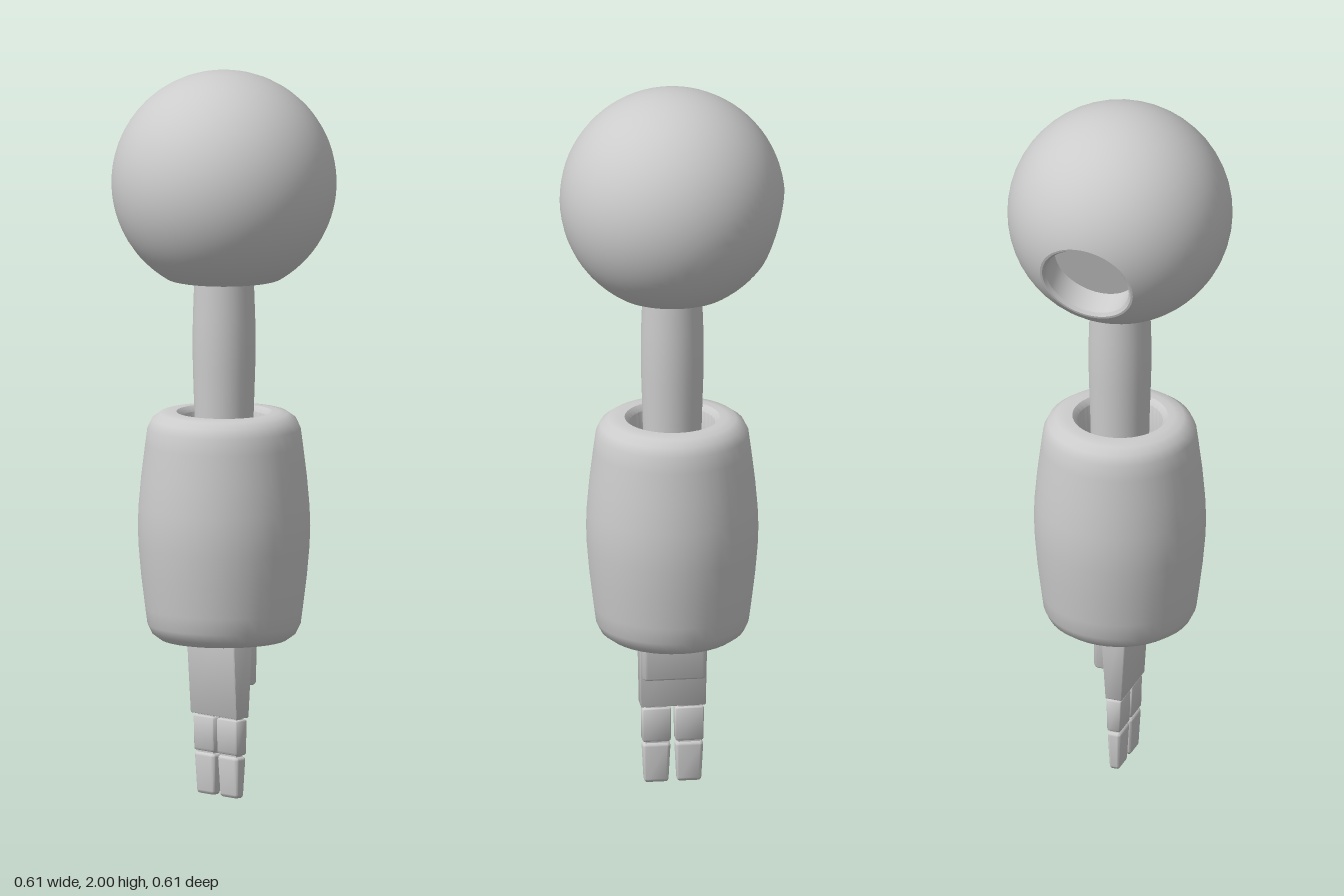
import * as THREE from 'three';
import { toCreasedNormals } from 'three/addons/utils/BufferGeometryUtils.js';
import { RoundedBoxGeometry } from 'three/addons/geometries/RoundedBoxGeometry.js';
import { ParametricGeometry } from 'three/addons/geometries/ParametricGeometry.js';

export function createModel() {
  const model = new THREE.Group();
  const material = new THREE.MeshStandardMaterial({ color: 0xcccccc });

  const add = (name, geometry, x = 0, y = 0, z = 0, parent = model) => {
    const mesh = new THREE.Mesh(geometry, material);
    mesh.name = name;
    mesh.position.set(x, y, z);
    parent.add(mesh);
    return mesh;
  };

  const lathe = (points, sides = 40) => toCreasedNormals(
    new THREE.LatheGeometry(points.map(([r, y]) => new THREE.Vector2(r, y)), sides), 0.7);

  // Rounded box whose bottom is scaled in x and z relative to its top
  const taperedBox = (w, h, d, sx, sz, bevel) => {
    const geometry = new RoundedBoxGeometry(w, h, d, 2, bevel);
    const p = geometry.attributes.position;
    for (let i = 0; i < p.count; i++) {
      const t = 0.5 - p.getY(i) / h;
      p.setX(i, p.getX(i) * (1 + (sx - 1) * t));
      p.setZ(i, p.getZ(i) * (1 + (sz - 1) * t));
    }
    return toCreasedNormals(geometry, 0.7);
  };

  // Shoulder ball: circles swept over the sphere from the side hole to the bottom hole
  const R = 0.307, ballY = 1.693, sideCut = 0.276, bottomCut = 0.263;
  const sideAngle = Math.PI + Math.atan2(0.328, 0.945);
  const startAlpha = Math.acos(sideCut / R);
  const endAlpha = Math.PI - Math.acos(bottomCut / R);
  const ball = new ParametricGeometry((u, v, target) => {
    const phi = THREE.MathUtils.lerp(sideAngle, Math.PI / 2, u);
    const alpha = THREE.MathUtils.lerp(startAlpha, endAlpha, u);
    const theta = v * Math.PI * 2;
    const along = Math.cos(alpha), across = Math.sin(alpha) * Math.cos(theta);
    target.set(
      R * (Math.cos(phi) * along - Math.sin(phi) * across),
      R * (Math.sin(phi) * along + Math.cos(phi) * across),
      R * Math.sin(alpha) * Math.sin(theta));
  }, 48, 48);
  const ballPos = ball.attributes.position, n = new THREE.Vector3();
  for (let i = 0; i < ballPos.count; i++) {
    n.fromBufferAttribute(ballPos, i).normalize();
    ball.attributes.normal.setXYZ(i, n.x, n.y, n.z);
  }
  add('shoulderBall', ball, 0, ballY);

  // Sockets sunk into the two openings of the ball
  const socket = (name, angle, cut, bore) => {
    const rim = Math.sqrt(R * R - cut * cut);
    const mesh = add(name,
      lathe([[rim, 0], [bore + 0.008, 0], [bore, -0.008], [bore, -0.08], [0, -0.08]], 48),
      Math.cos(angle) * cut, ballY + Math.sin(angle) * cut);
    mesh.rotation.z = angle - Math.PI / 2;
  };
  socket('sideSocket', sideAngle, sideCut, 0.12);
  socket('bottomSocket', -Math.PI / 2, bottomCut, 0.122);

  // Upper arm rod, slightly swollen in the middle
  add('upperArm', lathe([[0.078, 0.93], [0.081, 1.06], [0.085, 1.18],
    [0.086, 1.25], [0.085, 1.32], [0.081, 1.43], [0.078, 1.53]], 32));

  // Forearm barrel with a bored opening at each end
  add('forearm', lathe([[0, 0.55], [0.115, 0.55], [0.117, 0.445], [0.13, 0.43],
    [0.15, 0.43], [0.175, 0.434], [0.197, 0.45], [0.209, 0.475], [0.215, 0.52],
    [0.226, 0.61], [0.233, 0.69], [0.235, 0.745], [0.233, 0.8], [0.226, 0.88],
    [0.215, 0.97], [0.209, 1.015], [0.197, 1.04], [0.175, 1.056], [0.15, 1.06],
    [0.13, 1.06], [0.117, 1.045], [0.115, 0.94], [0, 0.94]]));

  // Hand
  const hand = new THREE.Group();
  hand.name = 'hand';
  model.add(hand);
  add('palm', taperedBox(0.188, 0.34, 0.088, 0.95, 0.54, 0.004), -0.002, 0.392, 0.015, hand);
  add('handBackPlate', taperedBox(0.18, 0.23, 0.06, 0.98, 0.95, 0.014), -0.002, 0.423, -0.017, hand);
  for (const x of [-0.047, 0.043]) {
    const finger = new THREE.Group();
    finger.name = 'finger';
    finger.position.set(x, 0, 0.013);
    hand.add(finger);
    add('fingerBase', taperedBox(0.08, 0.098, 0.044, 0.97, 0.9, 0.007), 0, 0.168, 0, finger);
    add('fingerTip', taperedBox(0.078, 0.115, 0.04, 0.85, 0.72, 0.01), 0, 0.0575, 0, finger);
    add('knuckle', new THREE.BoxGeometry(0.06, 0.2, 0.025), 0, 0.15, 0, finger);
  }
  return model;
}
